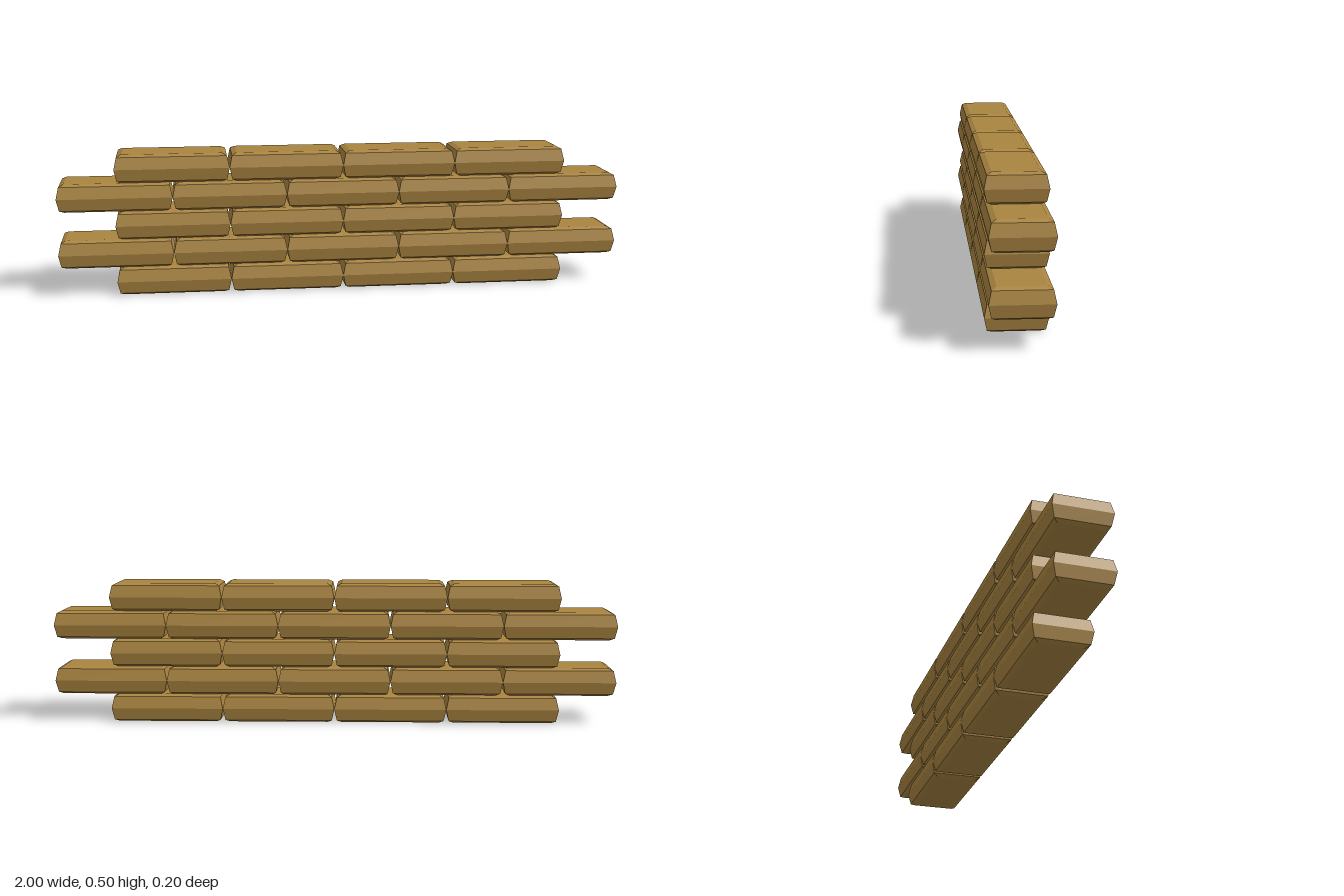
import * as THREE from 'three';

const LENGTH = 0.4, HEIGHT = 0.1, DEPTH = 0.2;

// Brick profile from bottom to top: [height, inset from the widest outline]
const PROFILE = [[0, 0.025], [0.008, 0.009], [0.05, 0], [0.092, 0.009], [0.1, 0.025]];

// A box sliced into levels, each level drawn in by its profile inset
function brickGeometry() {
  const levels = PROFILE.length - 1;
  const geometry = new THREE.BoxGeometry(LENGTH, HEIGHT, DEPTH, 1, levels, 1);
  const p = geometry.attributes.position;
  for (let i = 0; i < p.count; i++) {
    const level = Math.round((p.getY(i) / HEIGHT + 0.5) * levels);
    const [y, inset] = PROFILE[level];
    p.setXYZ(
      i,
      Math.sign(p.getX(i)) * (LENGTH / 2 - inset),
      y,
      Math.sign(p.getZ(i)) * (DEPTH / 2 - inset)
    );
  }
  geometry.computeVertexNormals();
  return geometry;
}

export function createModel() {
  const wall = new THREE.Group();
  wall.name = 'brickWall';
  const geometry = brickGeometry();
  const material = new THREE.MeshStandardMaterial({ color: 0xa98440, flatShading: true });

  // Staggered courses: four bricks, then five, alternating upward
  for (let row = 0; row < 5; row++) {
    const course = new THREE.Group();
    course.name = `course${row + 1}`;
    course.position.y = row * HEIGHT;
    const count = row % 2 ? 5 : 4;
    for (let i = 0; i < count; i++) {
      const brick = new THREE.Mesh(geometry, material);
      brick.name = `brick${i + 1}`;
      brick.position.x = (i - (count - 1) / 2) * LENGTH;
      course.add(brick);
    }
    wall.add(course);
  }
  return wall;
}
